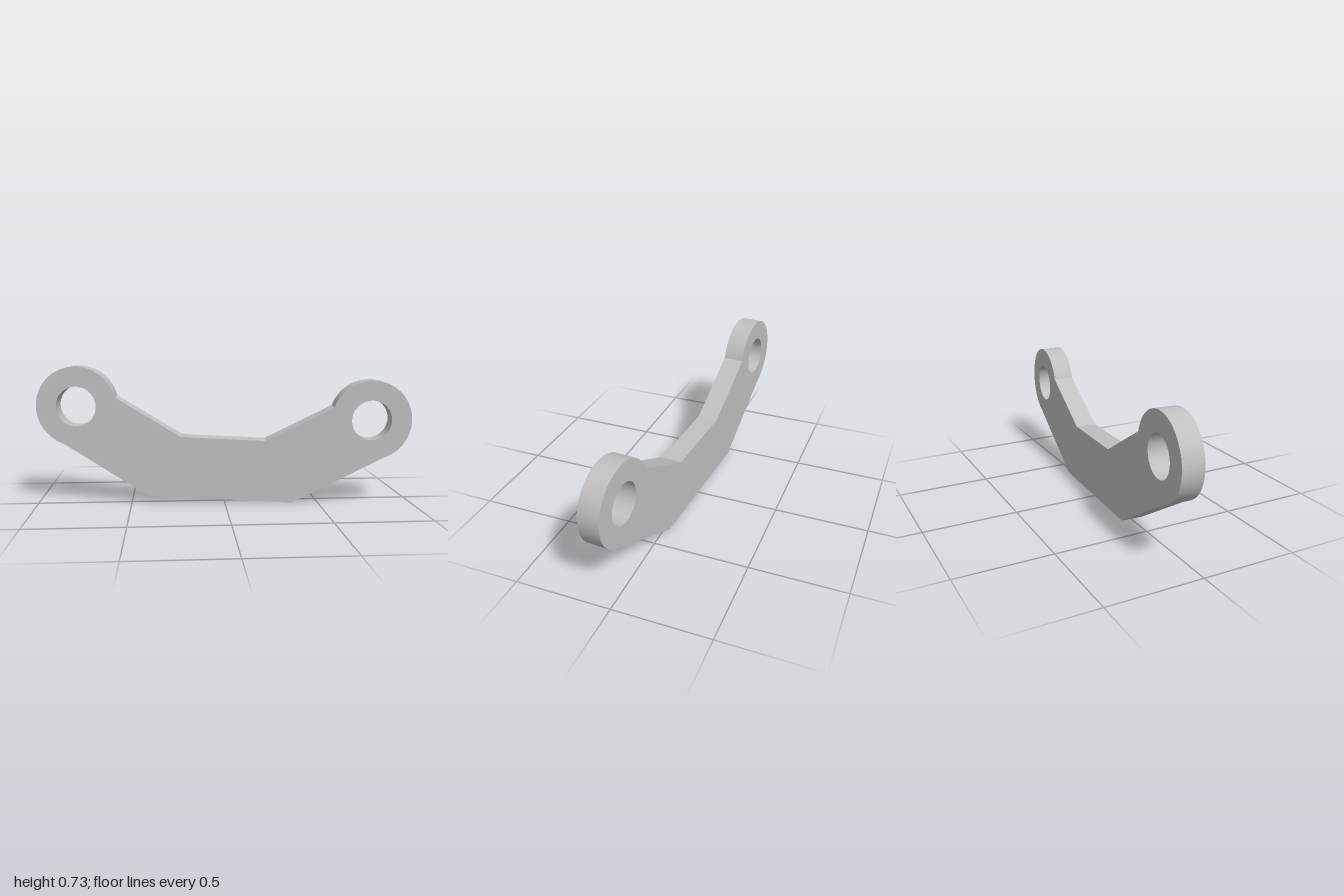
import * as THREE from 'three';
import { toCreasedNormals } from 'three/addons/utils/BufferGeometryUtils.js';

const OUTER = 0.212, HOLE = 0.106, THICK = 0.111, TURN = 0.0805;
const LEFT_EYE = [0.787, 0.448];
const RIGHT_EYE = [-0.787, 0.521];

// Adds the rounded end of the link, from one point on its rim to another
function eyeArc(shape, [cx, cy], from, to) {
  const angle = ([x, y]) => Math.atan2(y - cy, x - cx);
  shape.absarc(cx, cy, OUTER, angle(from), angle(to), false);
}

export function createModel() {
  const group = new THREE.Group();
  group.name = 'linkArm';

  const steel = new THREE.MeshStandardMaterial({ color: 0xc0c0c0 });
  steel.name = 'light grey';

  // Bent arm outline, anticlockwise from the lower corner at -x
  const outline = new THREE.Shape();
  outline.moveTo(-0.409, 0.037);
  outline.lineTo(0.366, 0);
  eyeArc(outline, LEFT_EYE, [0.855, 0.247], [0.586, 0.519]);
  outline.lineTo(0.222, 0.337);
  outline.lineTo(-0.229, 0.358);
  eyeArc(outline, RIGHT_EYE, [-0.577, 0.572], [-0.857, 0.321]);
  outline.closePath();

  // Pin holes
  for (const [x, y] of [LEFT_EYE, RIGHT_EYE]) {
    outline.holes.push(new THREE.Path().absarc(x, y, HOLE, 0, Math.PI * 2, true));
  }

  const geometry = new THREE.ExtrudeGeometry(outline, {
    depth: THICK, bevelEnabled: false, curveSegments: 64,
  });
  geometry.translate(0, 0, -THICK / 2);

  // The plate stands turned slightly about the vertical
  const arm = new THREE.Mesh(toCreasedNormals(geometry, 0.2), steel);
  arm.name = 'arm';
  arm.rotation.y = -TURN;
  group.add(arm);
  return group;
}
